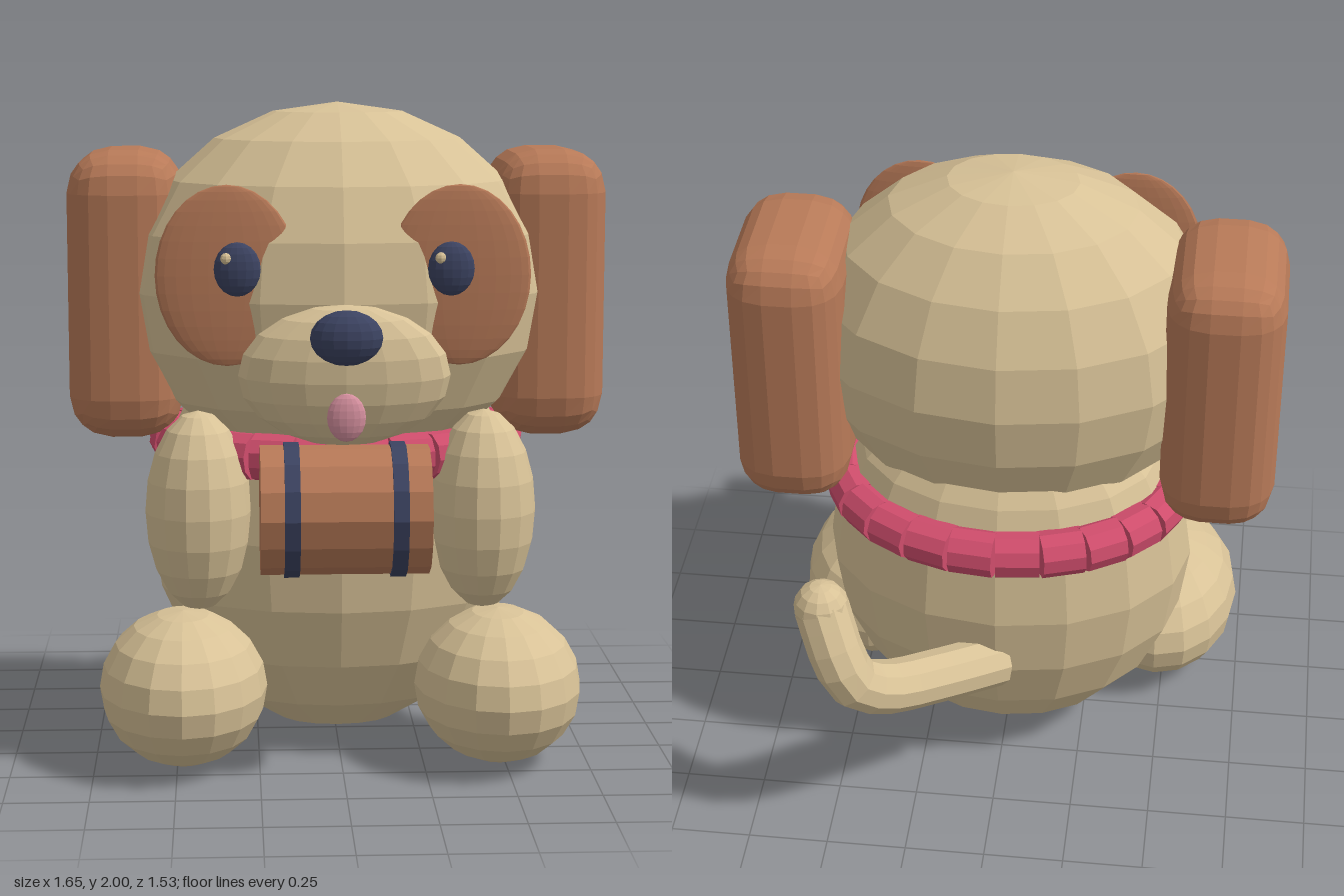
import * as THREE from 'three';
import { RoundedBoxGeometry } from 'three/addons/geometries/RoundedBoxGeometry.js';

const mat = (name, color) => {
  const m = new THREE.MeshStandardMaterial({ color, flatShading: true });
  m.name = name;
  return m;
};

export function createModel() {
  const dog = new THREE.Group();
  dog.name = 'sittingPuppy';
  const fur = mat('tan fur', 0xd8c297);
  const brown = mat('brown', 0xb87a58);
  const navy = mat('navy', 0x3c4361);
  const red = mat('collar red', 0xcf4d6c);
  const pink = mat('tongue pink', 0xd6909f);

  const add = (name, geometry, material, [x, y, z], parent = dog) => {
    const mesh = new THREE.Mesh(geometry, material);
    mesh.name = name;
    mesh.position.set(x, y, z);
    parent.add(mesh);
    return mesh;
  };
  // Faceted sphere stretched to three radii
  const ellipsoid = (name, material, pos, radii, w = 16, h = 10) =>
    add(name, new THREE.SphereGeometry(1, w, h).scale(...radii), material, pos);

  // Torso and head
  ellipsoid('body', fur, [0, 0.68, 0], [0.58, 0.66, 0.43]);
  ellipsoid('head', fur, [0, 1.43, 0.085], [0.64, 0.57, 0.485]);
  ellipsoid('muzzle', fur, [0, 1.225, 0.565], [0.31, 0.21, 0.118]).rotation.x = 0.1;
  ellipsoid('nose', navy, [0, 1.35, 0.69], [0.105, 0.08, 0.065]);
  ellipsoid('tongue', pink, [0, 1.12, 0.69], [0.056, 0.07, 0.025]);

  // Paired parts
  for (const s of [1, -1]) {
    const side = s > 0 ? 'left' : 'right';
    ellipsoid(side + 'Arm', fur, [s * 0.43, 0.785, 0.345], [0.16, 0.305, 0.185], 14);
    ellipsoid(side + 'Leg', fur, [s * 0.48, 0.24, 0.34], [0.255, 0.235, 0.352]);
    ellipsoid(side + 'EyePatch', brown, [s * 0.34, 1.51, 0.497], [0.21, 0.265, 0.023], 24, 16);
    ellipsoid(side + 'Eye', navy, [s * 0.31, 1.535, 0.562], [0.068, 0.079, 0.034]);
    ellipsoid(side + 'EyeGlint', fur, [s * 0.31 - 0.032, 1.568, 0.585], [0.017, 0.017, 0.013], 8, 6);
    add(side + 'Ear', new RoundedBoxGeometry(0.35, 0.885, 0.515, 2, 0.13), brown,
      [s * 0.652, 1.412, -0.035]);
  }

  // Collar of short straight links around the neck
  const collar = new THREE.Group();
  collar.name = 'collar';
  dog.add(collar);
  const links = 24;
  const ring = (i) => {
    const a = (i / links) * Math.PI * 2;
    return new THREE.Vector3(0.515 * Math.sin(a), 0.95, 0.41 * Math.cos(a));
  };
  const up = new THREE.Vector3(0, 1, 0);
  for (let i = 0; i < links; i++) {
    const a = ring(i), b = ring(i + 1);
    const along = b.clone().sub(a);
    const mid = a.clone().add(b).multiplyScalar(0.5);
    const link = add('collarLink', new THREE.CylinderGeometry(0.072, 0.072, along.length(), 10),
      red, mid.toArray(), collar);
    link.quaternion.setFromUnitVectors(up, along.normalize());
  }

  // Keg hanging under the chin, with two hoops
  const keg = (name, radius, length, material, x) => {
    const g = new THREE.CylinderGeometry(radius, radius, length, 14).rotateZ(Math.PI / 2);
    add(name, g, material, [x, 0.828, 0.565]);
  };
  keg('keg', 0.19, 0.495, brown, 0);
  for (const s of [1, -1]) keg('kegHoop', 0.199, 0.045, navy, s * 0.156);

  // Tail curling back and up to its left, with a round tip
  const tailPath = new THREE.CatmullRomCurve3([
    [0, 0.49, -0.37], [0.17, 0.53, -0.51], [0.32, 0.58, -0.635],
    [0.4, 0.64, -0.685], [0.445, 0.73, -0.68], [0.5, 0.875, -0.622],
  ].map((p) => new THREE.Vector3(...p)));
  add('tail', new THREE.TubeGeometry(tailPath, 12, 0.084, 10), fur, [0, 0, 0]);
  ellipsoid('tailTip', fur, [0.5, 0.875, -0.622], [0.085, 0.085, 0.085], 12, 8);

  return dog;
}
